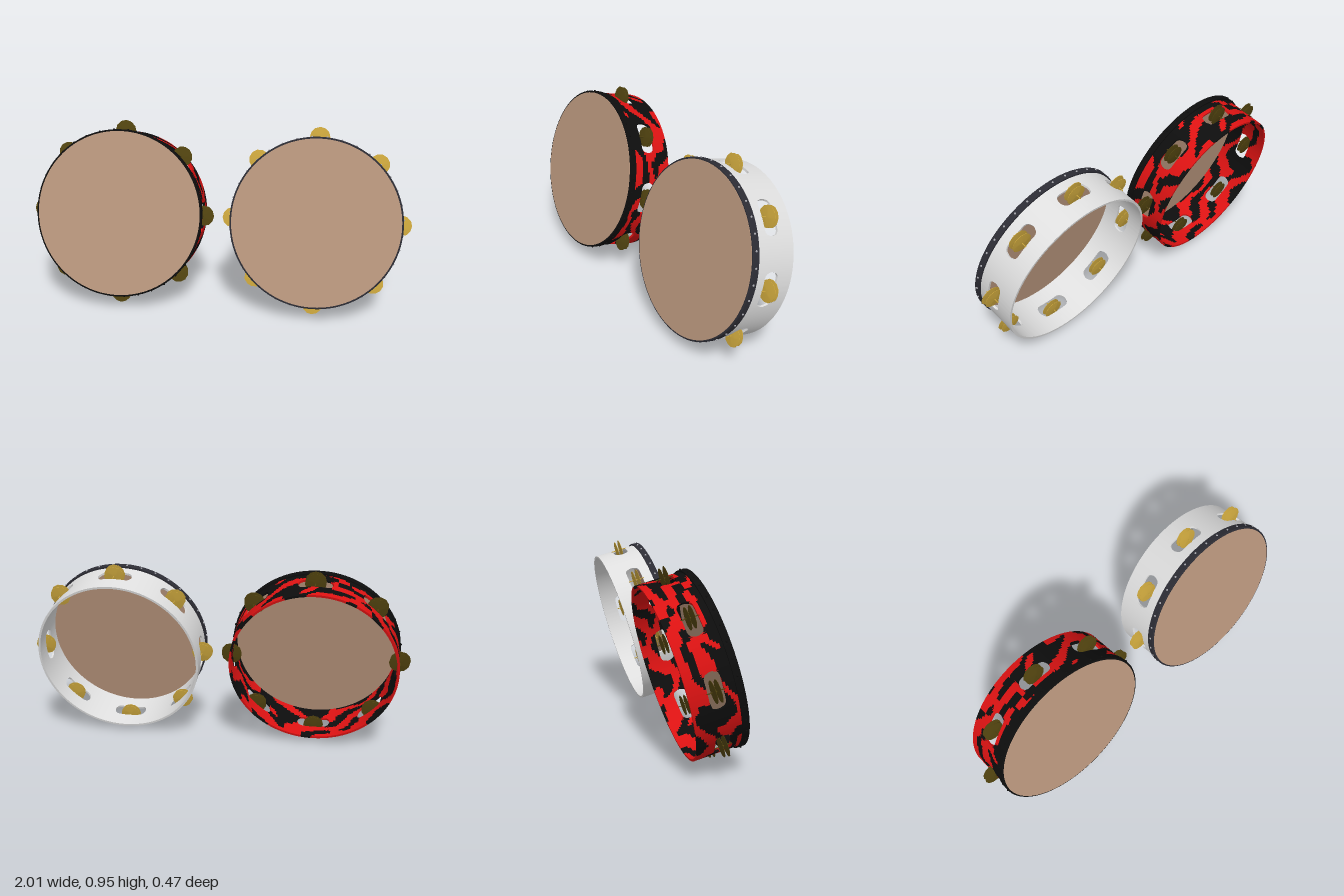
import * as THREE from 'three';
import { toCreasedNormals } from 'three/addons/utils/BufferGeometryUtils.js';

const R = 0.432, RI = 0.421;            // frame outer and inner radius
const BACK = -0.125, FRONT = 0.12;      // frame depth
const SLOTS = 8, SECTOR = Math.PI * 2 / SLOTS;
const SLOT_L = 0.089, SLOT_H = 0.038, SLOT_R = 0.031; // slot half length, half height, corner
const SLOT_A = SLOT_L / R;
const AXIS = new THREE.Vector3(0, 0, 1);

const mat = (name, color, side = THREE.FrontSide) => {
  const m = new THREE.MeshStandardMaterial({ color, side });
  m.name = name;
  return m;
};

// Half height of the rounded slot at an angle from its middle
function slotHalf(a) {
  const d = Math.min(Math.abs(a) * R, SLOT_L) - (SLOT_L - SLOT_R);
  return d <= 0 ? SLOT_H : SLOT_H - SLOT_R + Math.sqrt(Math.max(0, SLOT_R * SLOT_R - d * d));
}

// Thin ring wall with slots; paint(angle, z) picks which of the geometries gets each cell
function frameWall(count, rows, paint) {
  const lists = Array.from({ length: count }, () => []);
  const P = (r, a, z) => [r * Math.cos(a), r * Math.sin(a), z];
  const quad = (k, a, b, c, d) => lists[k].push(...a, ...b, ...c, ...a, ...c, ...d);

  const band = (a0, a1, lo0, lo1, hi0, hi1, n) => {
    const mid = (a0 + a1) / 2;
    for (let j = 0; j < n; j++) {
      const t = j / n, u = (j + 1) / n;
      const z00 = lo0 + (hi0 - lo0) * t, z01 = lo0 + (hi0 - lo0) * u;
      const z10 = lo1 + (hi1 - lo1) * t, z11 = lo1 + (hi1 - lo1) * u;
      const k = paint(mid, (z00 + z11) / 2);
      quad(k, P(R, a0, z00), P(R, a1, z10), P(R, a1, z11), P(R, a0, z01));
      quad(k, P(RI, a0, z01), P(RI, a1, z11), P(RI, a1, z10), P(RI, a0, z00));
    }
    quad(paint(mid, hi0), P(R, a0, hi0), P(R, a1, hi1), P(RI, a1, hi1), P(RI, a0, hi0));
    quad(paint(mid, lo0), P(RI, a0, lo0), P(RI, a1, lo1), P(R, a1, lo1), P(R, a0, lo0));
  };

  for (let s = 0; s < SLOTS; s++) {
    const c = s * SECTOR, nSlot = 24, nSolid = 14;
    for (let i = 0; i < nSlot; i++) {
      const a0 = SLOT_A * (2 * i / nSlot - 1), a1 = SLOT_A * (2 * (i + 1) / nSlot - 1);
      const h0 = slotHalf(a0), h1 = slotHalf(a1), n = Math.ceil(rows * 0.36);
      band(c + a0, c + a1, BACK, BACK, -h0, -h1, n);
      band(c + a0, c + a1, h0, h1, FRONT, FRONT, n);
    }
    const start = c + SLOT_A, step = (SECTOR - 2 * SLOT_A) / nSolid;
    for (let i = 0; i < nSolid; i++) {
      band(start + i * step, start + (i + 1) * step, BACK, BACK, FRONT, FRONT, rows);
    }
    // Flat ends of the slot
    const e = slotHalf(SLOT_A), b = c - SLOT_A;
    quad(paint(b, 0), P(RI, b, -e), P(RI, b, e), P(R, b, e), P(R, b, -e));
    quad(paint(start, 0), P(R, start, -e), P(R, start, e), P(RI, start, e), P(RI, start, -e));
  }
  return lists.map((list) => {
    const g = new THREE.BufferGeometry();
    g.setAttribute('position', new THREE.Float32BufferAttribute(list, 3));
    return toCreasedNormals(g, 0.6);
  });
}

// Wild streaks: 0 = red, 1 = black
function streaks(a, z) {
  const w = 1.3 * Math.sin(3 * a + 9 * z) + 0.8 * Math.sin(7 * a - 20 * z + 1);
  const v = Math.sin(52 * z + 2 * w + 2 * a) + 0.7 * Math.sin(11 * a + 30 * z + w)
    + 0.35 * Math.sin(23 * a - 70 * z);
  return v > -0.1 + 3 * z ? 0 : 1;
}

// Lathe turned so that its axis is the drum axis z
const latheZ = (points, segments) => toCreasedNormals(
  new THREE.LatheGeometry(points.map(([x, y]) => new THREE.Vector2(x, y)), segments).rotateX(Math.PI / 2), 0.6);

export function createModel() {
  const skin = mat('drum skin', 0xb8957c);
  const gold = mat('gold', 0xcaa53c), bronze = mat('dark bronze', 0x51430f);
  const white = mat('white', 0xdedede), red = mat('red', 0xdb1212), black = mat('black', 0x0d0d0d);
  const charcoal = mat('charcoal trim', 0x2c2c34, THREE.DoubleSide);
  const blackTrim = black.clone();
  blackTrim.side = THREE.DoubleSide;
  const steel = mat('steel', 0xa6a6ac);

  const trimGeo = latheZ([[0.43, 0.09], [0.44, 0.09], [0.44, 0.122], [0.437, 0.125], [0.42, 0.125]], 96);
  const headGeo = new THREE.CylinderGeometry(0.431, 0.431, 0.006, 96).rotateX(Math.PI / 2);
  const discGeo = latheZ([[0, -0.006], [0.02, -0.0045], [0.053, -0.0008], [0.053, 0.0008], [0.02, 0.0045], [0, 0.006]], 12);
  const pinGeo = new THREE.CylinderGeometry(0.0025, 0.0025, 0.084, 8).rotateX(Math.PI / 2);
  const studGeo = new THREE.SphereGeometry(0.0055, 8, 6);

  function tambourine(name, x, walls, trimMat, studMat, jingleMat) {
    const drum = new THREE.Group();
    drum.name = name;
    const add = (part, geo, material, parent = drum) => {
      const m = new THREE.Mesh(geo, material);
      m.name = part;
      parent.add(m);
      return m;
    };
    walls.forEach(([part, geo, material]) => add(part, geo, material));
    add('headTrim', trimGeo, trimMat);
    add('drumHead', headGeo, skin).position.z = 0.1235;

    // Studs around the trim
    for (let i = 0; i < 36; i++) {
      const a = (i + 0.5) * Math.PI / 18;
      add('stud', studGeo, studMat).position.set(0.44 * Math.cos(a), 0.44 * Math.sin(a), 0.107);
    }
    // A pair of jingles on a pin in every slot
    for (let s = 0; s < SLOTS; s++) {
      const jingle = new THREE.Group();
      jingle.name = 'jinglePair';
      add('pin', pinGeo, jingleMat, jingle);
      for (const side of [-1, 1]) {
        add('jingleDisc', discGeo, jingleMat, jingle).position.set(side * 0.002, 0, side * 0.011);
      }
      jingle.position.set(0.435, 0, 0).applyAxisAngle(AXIS, s * SECTOR);
      jingle.rotation.z = s * SECTOR;
      drum.add(jingle);
    }
    // Lean back
    drum.position.set(x, 0.474, 0);
    drum.rotation.x = -Math.PI / 12;
    return drum;
  }

  const [plain] = frameWall(1, 3, () => 0);
  const [redGeo, blackGeo] = frameWall(2, 22, streaks);

  const model = new THREE.Group();
  model.name = 'tambourines';
  model.add(
    tambourine('whiteTambourine', 0.513, [['frame', plain, white]], charcoal, steel, gold),
    tambourine('streakedTambourine', -0.513,
      [['frameRed', redGeo, red], ['frameBlack', blackGeo, black]], blackTrim, black, bronze),
  );
  return model;
}
